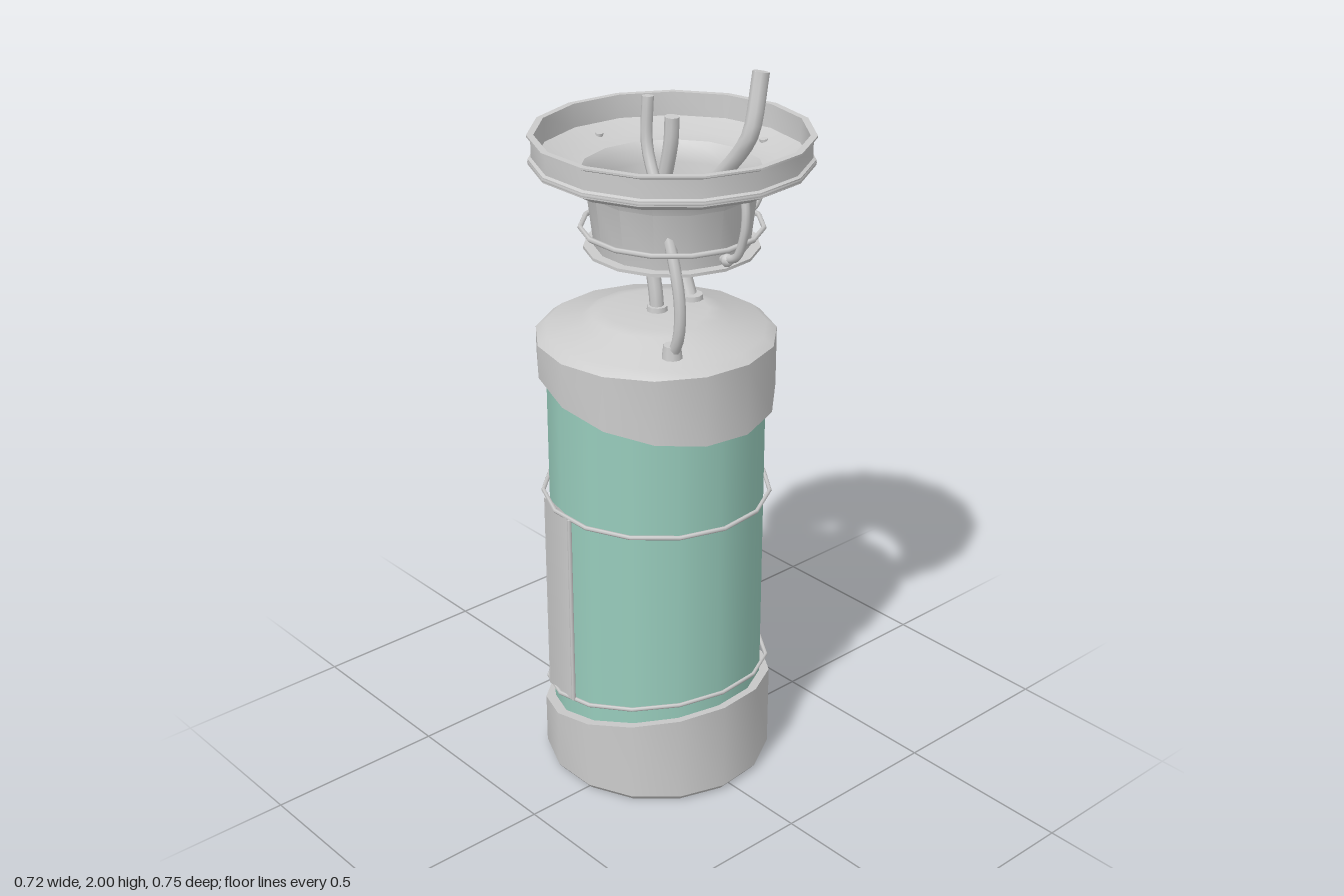
import * as THREE from 'three';
import { toCreasedNormals } from 'three/addons/utils/BufferGeometryUtils.js';

const SIDES = 15;
const BODY_Z = -0.055; // axis of the canister
const BOWL_Z = 0.008;  // axis of the funnel

const grey = new THREE.MeshStandardMaterial({ color: 0xcccccc });
const greyThin = new THREE.MeshStandardMaterial({ color: 0xcccccc, side: THREE.DoubleSide });
const green = new THREE.MeshStandardMaterial({ color: 0x98ccbc });

export function createModel() {
  const model = new THREE.Group();
  model.name = 'canister';

  function add(name, geometry, material = grey) {
    const mesh = new THREE.Mesh(geometry, material);
    mesh.name = name;
    model.add(mesh);
    return mesh;
  }

  // Fifteen-sided turned form, one corner pointing along +x (or -x)
  function turned(profile, z, start = Math.PI / 2) {
    const points = profile.map(([r, y]) => new THREE.Vector2(r, y));
    return new THREE.LatheGeometry(points, SIDES, start).translate(0, 0, z);
  }

  // Replace the height of chosen vertices by a sloping plane y = a + b * z
  function slope(geometry, chosen, a, b) {
    const p = geometry.attributes.position;
    for (let i = 0; i < p.count; i++) {
      if (chosen(p.getY(i))) p.setY(i, a + b * p.getZ(i));
    }
    return geometry;
  }

  const creased = (geometry) => toCreasedNormals(geometry, 0.5);

  // Wire hoop lying flat
  function hoop(r, wire, y, z) {
    return new THREE.TorusGeometry(r, wire, 6, SIDES).rotateX(Math.PI / 2).translate(0, y, z);
  }

  // Round pipe through points, closed with a disc at each end
  function pipe(name, points, radius) {
    const curve = new THREE.CatmullRomCurve3(points.map((p) => new THREE.Vector3(...p)), false, 'centripetal');
    add(name, new THREE.TubeGeometry(curve, 24, radius, 8));
    for (const t of [0, 1]) {
      const cap = add(name + 'End', new THREE.CircleGeometry(radius, 8));
      const direction = curve.getTangent(t).multiplyScalar(t ? 1 : -1);
      cap.position.copy(curve.getPoint(t));
      cap.quaternion.setFromUnitVectors(new THREE.Vector3(0, 0, 1), direction);
    }
  }

  // Green tank
  add('tank', turned([[0.293, 0.08], [0.293, 1.27]], BODY_Z), green);

  // Base cup with a slanted upper edge
  const base = turned([[0, 0], [0.308, 0], [0.32, 0.015], [0.32, 0.2], [0.285, 0.2]], BODY_Z);
  add('base', creased(slope(base, (y) => y > 0.1, 0.215, 0.221)));

  // Domed lid with a slanted lower edge
  const lid = turned([
    [0.285, 1.15], [0.322, 1.15], [0.322, 1.285], [0.295, 1.305],
    [0.2, 1.325], [0.175, 1.342], [0.14, 1.348], [0, 1.348],
  ], BODY_Z, -Math.PI / 2);
  add('lid', creased(slope(lid, (y) => y < 1.2, 1.15, -0.235)));

  // Two hoops around the tank, the lower one slanted
  add('upperHoop', hoop(0.31, 0.006, 0.83, BODY_Z));
  const lowerHoop = hoop(0.31, 0.006, 0, BODY_Z);
  const p = lowerHoop.attributes.position;
  for (let i = 0; i < p.count; i++) p.setY(i, p.getY(i) + 0.274 + 0.176 * p.getZ(i));
  add('lowerHoop', lowerHoop);

  // Side plates held between the hoops
  const arc = 0.47;
  for (const [name, start] of [['leftPlate', Math.PI / 2], ['rightPlate', -Math.PI / 2 - arc]]) {
    for (const r of [0.303, 0.313]) {
      const plate = new THREE.CylinderGeometry(r, r, 0.58, 1, 1, true, start, arc).translate(0, 0.54, BODY_Z);
      add(name, slope(plate, (y) => y < 0.4, 0.274, 0.176), greyThin);
    }
    // Rods along both edges of the plate
    for (const a of [start, start + arc]) {
      const z = BODY_Z + 0.308 * Math.cos(a);
      const foot = 0.274 + 0.176 * z;
      const rod = add(name + 'Rod', new THREE.CylinderGeometry(0.006, 0.006, 0.83 - foot, 6));
      rod.position.set(0.308 * Math.sin(a), (0.83 + foot) / 2, z);
    }
  }

  // Funnel: wide rimmed bowl narrowing to an open throat
  add('funnel', creased(turned([
    [0.2, 1.545], [0.218, 1.7], [0.235, 1.735], [0.3, 1.745], [0.325, 1.752], [0.362, 1.772],
    [0.362, 1.786], [0.354, 1.79], [0.354, 1.838], [0.364, 1.843], [0.364, 1.848], [0.346, 1.848],
    [0.344, 1.785], [0.28, 1.757], [0.235, 1.752], [0.222, 1.735], [0.21, 1.7], [0.194, 1.545],
  ], BOWL_Z)), greyThin);
  add('funnelBead', hoop(0.356, 0.008, 1.779, BOWL_Z));
  add('throatHoop', hoop(0.235, 0.007, 1.602, BOWL_Z));
  add('throatLip', creased(turned([[0.194, 1.544], [0.228, 1.544], [0.228, 1.552], [0.194, 1.552]], BOWL_Z)));

  // Three bent wire brackets from bowl to throat hoop
  for (const angle of [0.085, 1.67, -1.54]) {
    const bracket = [[0.297, 1.772], [0.304, 1.71], [0.297, 1.655], [0.27, 1.595], [0.215, 1.573]];
    const at = ([r, y]) => [r * Math.cos(angle), y, BOWL_Z + r * Math.sin(angle)];
    pipe('bracket', bracket.map(at), 0.011);
    const bolt = add('bracketBolt', new THREE.SphereGeometry(0.017, 8, 6));
    bolt.position.set(...at([0.232, 1.575]));
  }

  // Pipes rising from the lid through the throat, each with a collar
  const pipes = [
    ['thinPipe', 0.015, [[-0.13, 1.32, 0.155], [-0.136, 1.38, 0.185], [-0.138, 1.46, 0.193],
      [-0.138, 1.56, 0.175], [-0.128, 1.75, 0.095], [-0.122, 1.85, 0.053], [-0.116, 1.97, 0.05]]],
    ['middlePipe', 0.019, [[0, 1.33, -0.05], [0, 1.39, -0.055], [0, 1.49, -0.072],
      [0, 1.57, -0.065], [0, 1.75, -0.012], [0, 1.82, 0.004], [0, 1.885, 0.008]]],
    ['tallPipe', 0.022, [[0.122, 1.33, -0.05], [0.125, 1.39, -0.08], [0.127, 1.47, -0.115],
      [0.127, 1.54, -0.105], [0.128, 1.79, 0.12], [0.132, 1.85, 0.155], [0.163, 2, 0.155]]],
  ];
  for (const [name, radius, points] of pipes) {
    pipe(name, points, radius);
    const collar = add(name + 'Collar', new THREE.CylinderGeometry(radius + 0.008, radius + 0.012, 0.035, 10));
    collar.position.set(...points[0]).setY(points[0][1] + 0.014);
  }

  return model;
}
